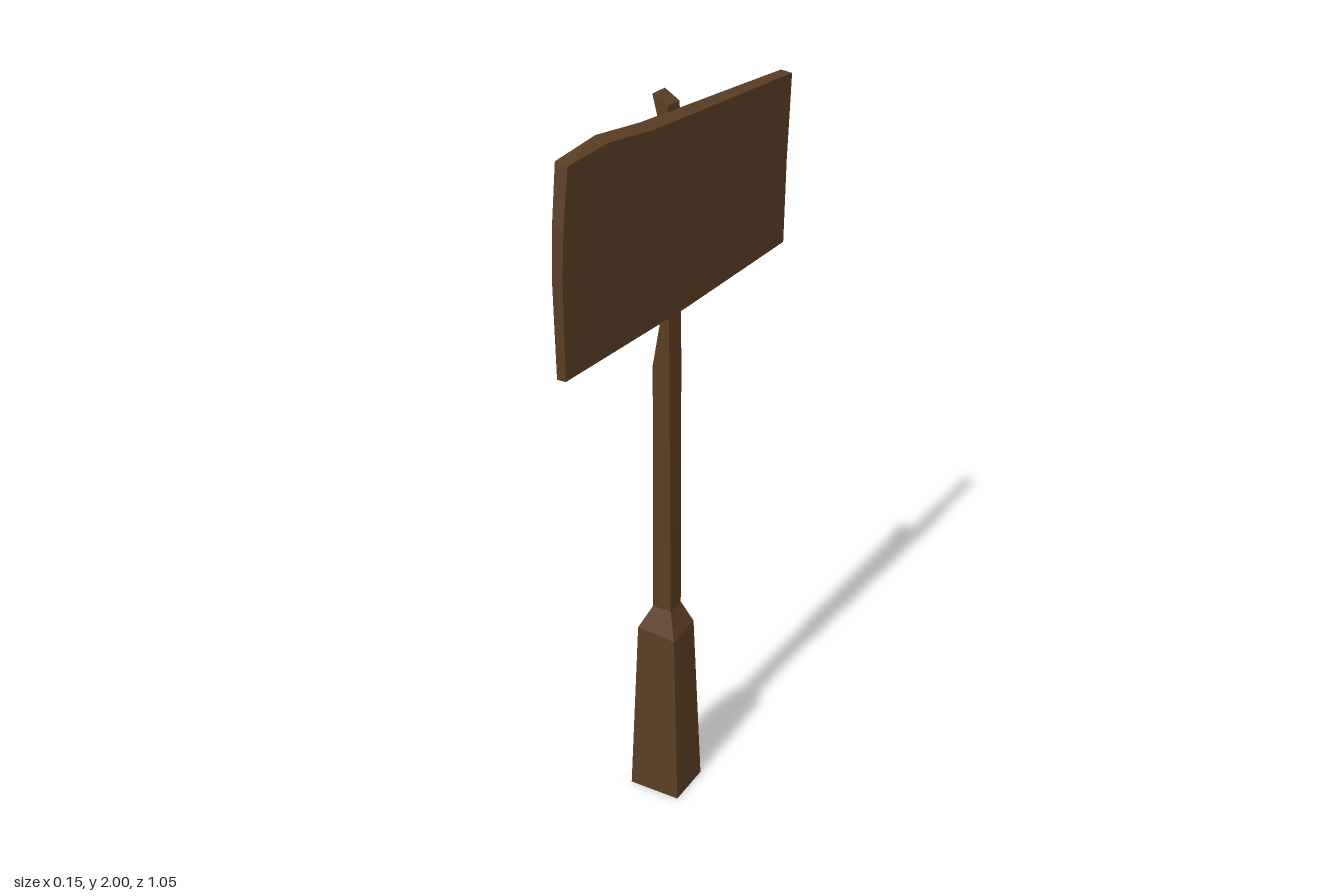
import * as THREE from 'three';

// Skin a stack of equal-length rings, counter-clockwise seen from the last ring, with capped ends
function loft(rings) {
  const positions = [];
  const tri = (...points) => points.forEach((p) => positions.push(...p));
  const n = rings[0].length;
  for (let r = 0; r < rings.length - 1; r++) {
    const low = rings[r], high = rings[r + 1];
    for (let i = 0; i < n; i++) {
      const j = (i + 1) % n;
      tri(low[i], low[j], high[j]);
      tri(low[i], high[j], high[i]);
    }
  }
  const first = rings[0], last = rings[rings.length - 1];
  for (let i = 1; i < n - 1; i++) {
    tri(first[0], first[i + 1], first[i]);
    tri(last[0], last[i], last[i + 1]);
  }
  const geometry = new THREE.BufferGeometry();
  geometry.setAttribute('position', new THREE.Float32BufferAttribute(positions, 3));
  geometry.computeVertexNormals();
  return geometry;
}

export function createModel() {
  const group = new THREE.Group();
  const wood = new THREE.MeshStandardMaterial({ color: 0x5a3d24, flatShading: true });
  wood.name = 'brown wood';

  const add = (name, geometry) => {
    const mesh = new THREE.Mesh(geometry, wood);
    mesh.name = name;
    group.add(mesh);
  };

  // Post: thick tapered foot, shoulder, then a slim shaft with a shaved front corner
  // Ring corners: front left, front right, back right, back left
  add('post', loft([
    [[-0.077, 0, 0.077], [0.075, 0, 0.077], [0.065, 0, -0.066], [-0.053, 0, -0.055]],
    [[-0.062, 0.51, 0.06], [0.053, 0.5, 0.06], [0.048, 0.51, -0.05], [-0.05, 0.51, -0.046]],
    [[-0.03, 0.575, 0.034], [0.026, 0.575, 0.034], [0.022, 0.575, -0.025], [-0.031, 0.575, -0.025]],
    [[-0.028, 1.29, 0.034], [0.022, 1.29, 0.034], [0.022, 1.29, -0.024], [-0.028, 1.29, -0.024]],
    [[-0.008, 1.4, 0.034], [0.021, 1.4, 0.034], [0.021, 1.4, -0.024], [-0.027, 1.4, -0.024]],
    [[-0.008, 1.93, 0.034], [0.018, 1.93, 0.034], [0.018, 1.93, -0.024], [-0.027, 1.93, -0.024]],
    [[-0.026, 2, 0.034], [0.016, 1.975, 0.034], [0.014, 1.975, -0.024], [-0.027, 2, -0.024]],
  ]));

  // Sign board outline: z, inner y, outer y, running along the bottom, up the back end and over the top
  const outline = [
    [0.52, 1.45, 1.45], [0, 1.45, 1.45], [-0.503, 1.458, 1.468],
    [-0.508, 1.7, 1.7], [-0.522, 1.932, 1.928],
    [0.15, 1.966, 1.952], [0.335, 1.985, 1.972], [0.495, 1.968, 1.962],
    [0.516, 1.82, 1.82], [0.524, 1.7, 1.7], [0.52, 1.56, 1.56],
  ];
  const innerFace = outline.map(([z, y]) => [0.018 - 0.008 * z - 0.014 * (y - 1.7), y, z]);
  const outerFace = outline.map(([z, , y]) => [0.047 - 0.008 * z + 0.004 * (y - 1.7), y, z]);
  add('signBoard', loft([innerFace, outerFace]));

  return group;
}
